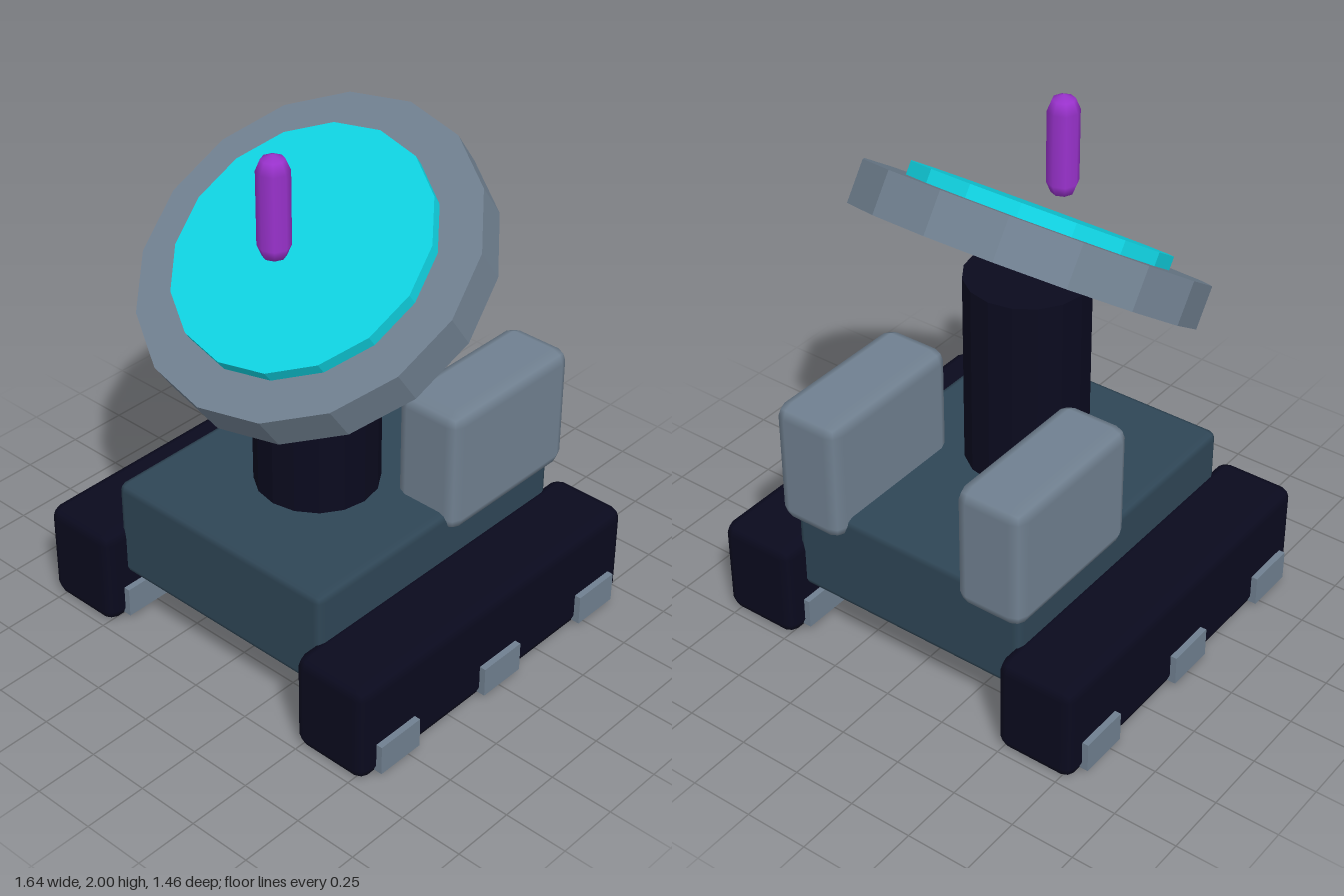
import * as THREE from 'three';
import { RoundedBoxGeometry } from 'three/addons/geometries/RoundedBoxGeometry.js';

const material = (name, color, flatShading = false) => {
  const m = new THREE.MeshStandardMaterial({ color, flatShading });
  m.name = name;
  return m;
};

export function createModel() {
  const model = new THREE.Group();
  model.name = 'dishRover';

  const navy = material('darkNavy', 0x0a0a1e);
  const slate = material('darkSlate', 0x2f4656);
  const grey = material('slateGrey', 0x708090);
  const cyan = material('cyan', 0x10d3e2);
  const purple = material('purple', 0x9932cc);
  for (const m of [navy, grey, cyan, purple]) m.flatShading = false;

  const add = (name, geometry, mat, x, y, z, parent = model) => {
    const mesh = new THREE.Mesh(geometry, mat);
    mesh.name = name;
    mesh.position.set(x, y, z);
    parent.add(mesh);
    return mesh;
  };
  // Box with a single chamfer on every edge
  const chamferBox = (w, h, d, r) => new RoundedBoxGeometry(w, h, d, 1, r);
  // Cylinder with hard facets
  const faceted = (r, h, sides) => {
    const g = new THREE.CylinderGeometry(r, r, h, sides).toNonIndexed();
    g.computeVertexNormals();
    return g;
  };

  // Body
  add('chassis', chamferBox(1.01, 0.4, 1.26, 0.03), slate, 0, 0.4, 0);

  // Tracks with their pads, and the rear equipment boxes
  for (const [side, s] of [['left', 1], ['right', -1]]) {
    add(side + 'Track', chamferBox(0.32, 0.4, 1.46, 0.045), navy, s * 0.635, 0.204, 0);
    for (const z of [-0.555, 0, 0.555]) {
      add(side + 'TrackPad', new THREE.BoxGeometry(0.37, 0.12, 0.2), grey, s * 0.635, 0.083, z);
    }
    add(side + 'EquipmentBox', chamferBox(0.28, 0.5, 0.65, 0.05), grey, s * 0.402, 0.773, -0.355);
  }

  // Mast
  add('mast', faceted(0.235, 0.795, 16), navy, 0, 0.978, 0.1);

  // Tilted dish with its raised face
  const dish = new THREE.Group();
  dish.name = 'dish';
  dish.position.set(0, 1.5, 0.105);
  dish.rotation.x = THREE.MathUtils.degToRad(35);
  model.add(dish);
  add('dishPlate', faceted(0.655, 0.16, 16), grey, 0, 0, 0, dish);
  add('dishFace', faceted(0.495, 0.08, 16), cyan, 0, 0.09, 0, dish);

  // Floating emitter above the dish
  add('emitter', new THREE.CapsuleGeometry(0.06, 0.28, 2, 8), purple, 0, 1.8, 0.305);

  return model;
}
